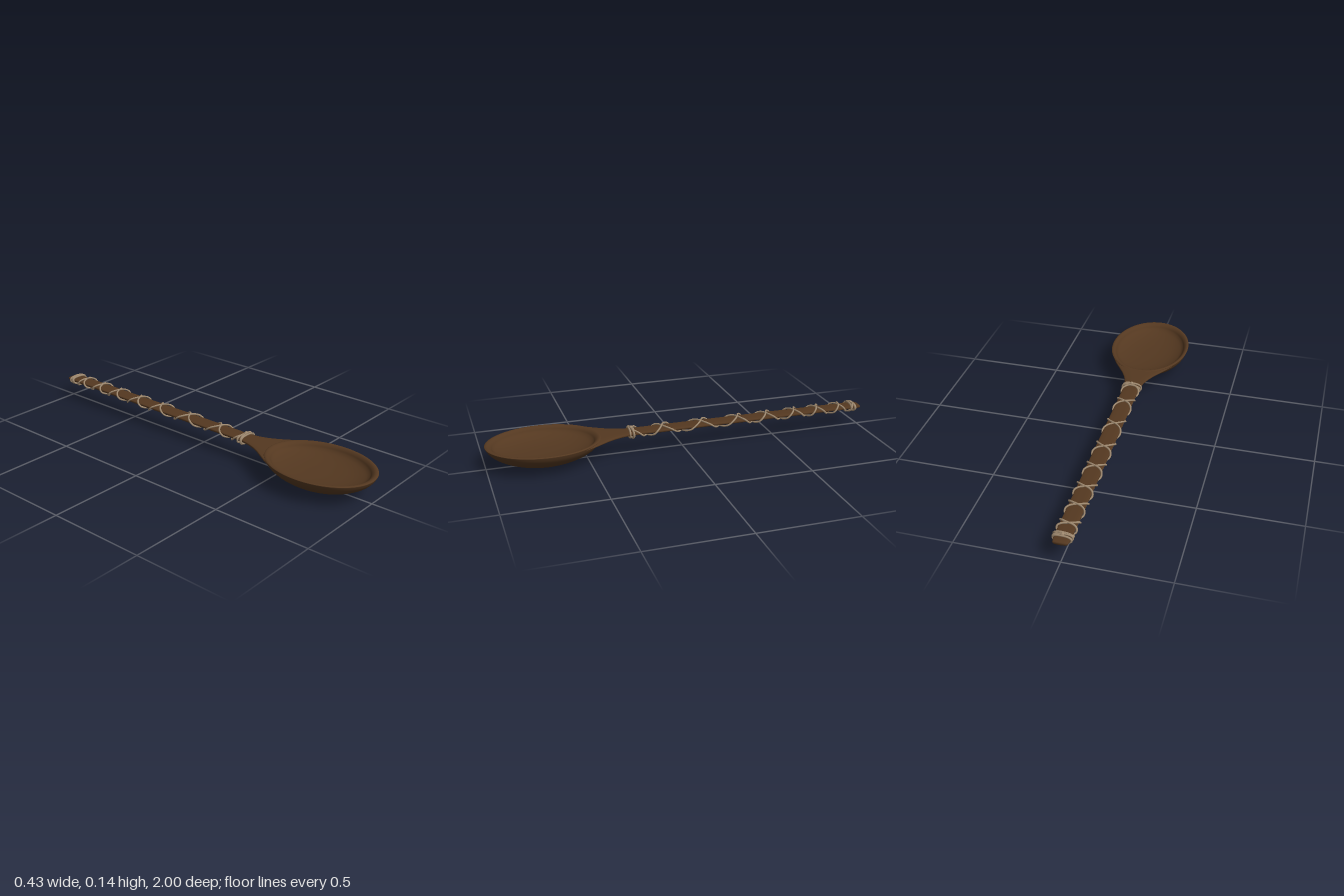
import * as THREE from 'three';

const wood = new THREE.MeshStandardMaterial({ color: 0x543820 });
wood.name = 'dark wood';
const twine = new THREE.MeshStandardMaterial({ color: 0xa08a70 });
twine.name = 'twine';

const BOWL_Z = 0.713;

function mesh(name, geometry, material) {
  const m = new THREE.Mesh(geometry, material);
  m.name = name;
  return m;
}

// Signed power, for rounded-rectangle sections
const spow = (v, p) => Math.sign(v) * Math.pow(Math.abs(v), p);

// Oval bowl: outer shell, rounded rim and hollow in one profile
function makeBowl() {
  const outer = [[0, 0], [0.23, 0.004], [0.47, 0.017], [0.7, 0.04], [0.86, 0.065], [0.955, 0.09], [1, 0.113]];
  const inner = [[1, 0.113], [0.97, 0.116], [0.93, 0.114], [0.89, 0.106], [0.85, 0.093], [0.77, 0.081],
    [0.58, 0.068], [0.3, 0.06], [0, 0.058]];
  const smooth = (pts, n) => new THREE.SplineCurve(pts.map(p => new THREE.Vector2(...p))).getPoints(n);
  const profile = [...smooth(outer, 24), ...smooth(inner, 32).slice(1)];
  profile.forEach(p => { p.x = Math.max(0, p.x); });
  const geo = new THREE.LatheGeometry(profile, 64);
  geo.scale(0.215, 1, 0.287);
  geo.translate(0, 0, BOWL_Z);
  geo.computeVertexNormals();
  return mesh('bowl', geo, wood);
}

// Handle and flared neck: sections lofted along z, trimmed by the bowl's rim ellipse
function makeHandle() {
  const stations = [ // z, half width, thickness factor
    [-1, 0, 0], [-1, 0.031, 0.7], [-0.995, 0.035, 0.9], [-0.98, 0.038, 1], [-0.9, 0.04, 1],
    [-0.5, 0.041, 1], [0, 0.042, 1], [0.25, 0.042, 1], [0.29, 0.045, 1], [0.33, 0.054, 1],
    [0.37, 0.069, 1], [0.41, 0.09, 1], [0.45, 0.116, 1], [0.49, 0.142, 1], [0.53, 0.164, 1],
    [0.57, 0.181, 1], [0.61, 0.193, 1],
  ];
  const N = 48;
  const pos = [];
  const index = [];
  stations.forEach(([z, w, k], i) => {
    for (let j = 0; j < N; j++) {
      const t = (j / N) * Math.PI * 2;
      const s = Math.sin(t);
      const x = w * spow(Math.cos(t), 0.85);
      const y = 0.106 + k * (s > 0 ? 0.009 * spow(s, 0.45) : 0.011 * spow(s, 0.8));
      const rim = BOWL_Z - 0.275 * Math.sqrt(Math.max(0, 1 - (x / 0.206) ** 2));
      pos.push(x, y, Math.min(z, rim));
      if (i < stations.length - 1) {
        const a = i * N + j;
        const b = i * N + (j + 1) % N;
        index.push(a, b, b + N, a, b + N, a + N);
      }
    }
  });
  const geo = new THREE.BufferGeometry();
  geo.setAttribute('position', new THREE.Float32BufferAttribute(pos, 3));
  geo.setIndex(index);
  geo.computeVertexNormals();
  return mesh('handle', geo, wood);
}

// Point on the path around the handle at angle a (0 = top centre)
function around(a, z, rx = 0.046, ry = 0.018) {
  return new THREE.Vector3(rx * spow(Math.sin(a), 0.8), 0.106 + ry * spow(Math.cos(a), 0.8), z);
}

// Spiral strand; it passes over the top centre at each crossing
function makeStrand(name, side) {
  const crossings = [0.27, 0.11, -0.1, -0.3, -0.46, -0.62, -0.75, -0.88, -0.96];
  const pts = [];
  const STEPS = 16;
  for (let i = 0; i < crossings.length - 1; i++) {
    for (let s = 0; s < STEPS; s++) {
      const f = s / STEPS;
      const z = THREE.MathUtils.lerp(crossings[i], crossings[i + 1], f);
      pts.push(around(side * f * Math.PI * 2, z, 0.046, side > 0 ? 0.017 : 0.02));
    }
  }
  const curve = new THREE.CatmullRomCurve3(pts);
  return mesh(name, new THREE.TubeGeometry(curve, 420, 0.0048, 6), twine);
}

// Closed loop tied round the handle, slightly tilted
function makeLoop(name, z, tilt, rx, ry) {
  const pts = [];
  for (let i = 0; i < 28; i++) {
    const a = (i / 28) * Math.PI * 2;
    pts.push(around(a, z + tilt * Math.sin(a), rx, ry));
  }
  const curve = new THREE.CatmullRomCurve3(pts, true);
  return mesh(name, new THREE.TubeGeometry(curve, 72, 0.005, 6, true), twine);
}

export function createModel() {
  const group = new THREE.Group();
  group.name = 'wooden spoon';
  group.add(makeBowl(), makeHandle());

  const wrap = new THREE.Group();
  wrap.name = 'twineWrap';
  wrap.add(makeStrand('leftStrand', 1), makeStrand('rightStrand', -1));

  // Bindings at the neck and at the tip
  [[0.262, 0.006, 0.048, 0.02], [0.272, -0.005, 0.05, 0.024], [0.282, 0.003, 0.048, 0.021]]
    .forEach(p => wrap.add(makeLoop('neckBinding', ...p)));
  [[-0.945, 0.004, 0.044, 0.018], [-0.957, -0.004, 0.044, 0.02], [-0.967, 0.002, 0.043, 0.017]]
    .forEach(p => wrap.add(makeLoop('tipBinding', ...p)));

  // Small knots on top of the bindings
  [[0.272, 0.131], [-0.957, 0.125]].forEach(([z, y]) => {
    const knot = mesh('knot', new THREE.SphereGeometry(0.009, 10, 8), twine);
    knot.position.set(0, y, z);
    wrap.add(knot);
  });
  group.add(wrap);
  return group;
}
